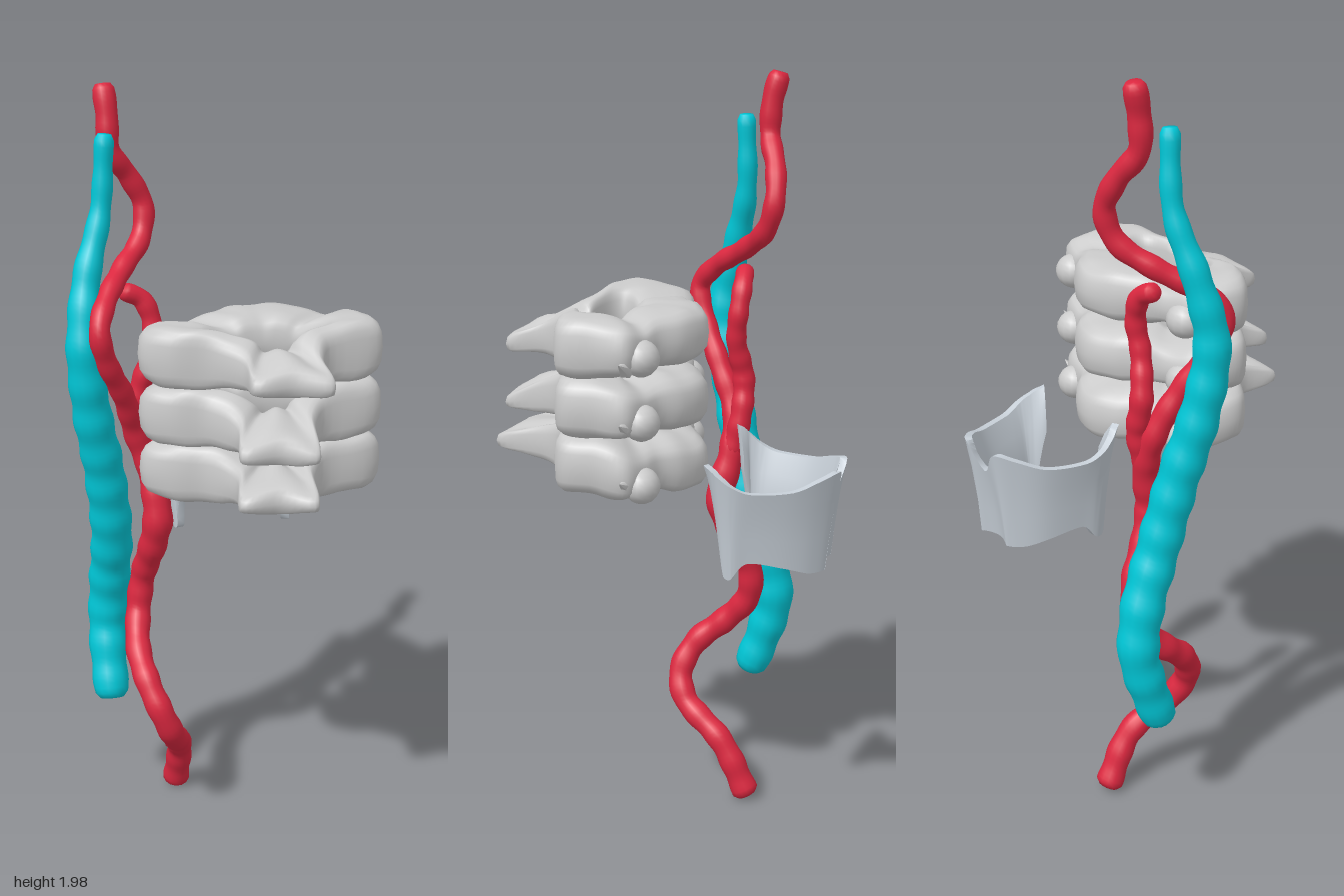
import * as THREE from 'three';
import { toCreasedNormals } from 'three/addons/utils/BufferGeometryUtils.js';

const material = (color) => new THREE.MeshStandardMaterial({ color, roughness: 0.7, side: THREE.DoubleSide });
const bone = material(0xcccccc);
const cartilage = material(0xc6ced6);
const arteryRed = material(0xdc2840);
const veinBlue = material(0x00c8d8);

// Skins a list of equal-length rings; each ring turns counter-clockwise about the sweep direction.
function loft(rings, closed) {
  const n = rings[0].length, m = rings.length;
  const points = rings.flat();
  const index = [];
  for (let i = 0; i < (closed ? m : m - 1); i++) {
    for (let j = 0; j < n; j++) {
      const a = i * n + j, b = i * n + (j + 1) % n;
      const c = ((i + 1) % m) * n + j, d = ((i + 1) % m) * n + (j + 1) % n;
      index.push(a, b, c, b, d, c);
    }
  }
  if (!closed) {
    for (const [i, flip] of [[0, true], [m - 1, false]]) {
      const center = new THREE.Vector3();
      rings[i].forEach((p) => center.addScaledVector(p, 1 / n));
      const k = points.push(center) - 1;
      for (let j = 0; j < n; j++) {
        const a = i * n + j, b = i * n + (j + 1) % n;
        index.push(k, flip ? b : a, flip ? a : b);
      }
    }
  }
  const geometry = new THREE.BufferGeometry().setFromPoints(points);
  geometry.setIndex(index);
  geometry.computeVertexNormals();
  return geometry;
}

function add(parent, name, geometry, mat) {
  const mesh = new THREE.Mesh(geometry, mat);
  mesh.name = name;
  parent.add(mesh);
  return mesh;
}

// Tube of varying radius through [x, y, z, radius] stations.
function vessel(stations, steps = 110, sides = 14) {
  const curve = new THREE.CatmullRomCurve3(stations.map(([x, y, z]) => new THREE.Vector3(x, y, z)));
  const frames = curve.computeFrenetFrames(steps);
  const rings = [];
  for (let i = 0; i <= steps; i++) {
    const u = i / steps, p = curve.getPointAt(u);
    const s = curve.getUtoTmapping(u) * (stations.length - 1);
    const k = Math.min(Math.floor(s), stations.length - 2);
    let r = THREE.MathUtils.lerp(stations[k][3], stations[k + 1][3], s - k);
    r *= 1 + 0.05 * Math.sin(i * 0.9);
    if (i === 0 || i === steps) r *= 0.75;
    const ring = [];
    for (let j = 0; j < sides; j++) {
      const a = (j / sides) * Math.PI * 2;
      ring.push(p.clone().addScaledVector(frames.normals[i], r * Math.cos(a))
        .addScaledVector(frames.binormals[i], r * Math.sin(a)));
    }
    rings.push(ring);
  }
  return loft(rings, false);
}

// Vertebra outline seen from above: [x, z, half height]
const outline = [
  [0.10, -0.105, 0.068], [0.02, -0.08, 0.07], [-0.045, -0.035, 0.065], [-0.12, -0.02, 0.05],
  [-0.195, 0.005, 0.06], [-0.225, 0.06, 0.07], [-0.235, 0.14, 0.074], [-0.18, 0.195, 0.074],
  [-0.085, 0.225, 0.068], [-0.02, 0.285, 0.05], [-0.012, 0.36, 0.028], [0.085, 0.36, 0.042],
  [0.175, 0.385, 0.028], [0.178, 0.295, 0.05], [0.21, 0.245, 0.066], [0.355, 0.205, 0.074],
  [0.365, 0.11, 0.074], [0.365, 0.03, 0.065], [0.30, 0, 0.05], [0.245, -0.02, 0.06], [0.19, -0.07, 0.07],
];

// Ring of bone around the spinal canal; the spine droops, lengthens and drifts with each level.
function vertebra({ y, bodyDrop, spineDrop, spineLength, spineShift }) {
  const curve = new THREE.CatmullRomCurve3(outline.map(([x, z, h]) => new THREE.Vector3(x, h, z)), true);
  const steps = 126, sides = 18, rings = [];
  const power = (v) => Math.sign(v) * Math.abs(v) ** 0.65;
  for (let i = 0; i < steps; i++) {
    const o = curve.getPoint(i / steps);
    const angle = Math.atan2((o.z - 0.15) / 0.065, (o.x - 0.08) / 0.14);
    const inX = 0.08 + 0.135 * Math.cos(angle), inZ = 0.155 + 0.057 * Math.sin(angle);
    const ring = [];
    for (let j = 0; j < sides; j++) {
      const a = (j / sides) * Math.PI * 2;
      const t = 0.5 + 0.5 * power(Math.cos(a));
      const x = THREE.MathUtils.lerp(inX, o.x, t), z = THREE.MathUtils.lerp(inZ, o.z, t);
      const spine = Math.max(0, z - 0.2) / 0.18;
      const body = THREE.MathUtils.clamp((0.12 - z) / 0.2, 0, 1);
      const bumps = 0.004 * Math.sin(x * 47 + y * 30) * Math.cos(z * 41);
      ring.push(new THREE.Vector3(
        x + spineShift * Math.min(spine, 1),
        y - power(Math.sin(a)) * (o.y + bumps) - body * bodyDrop - spine * spineDrop,
        z + spine * spineLength));
    }
    rings.push(ring);
  }
  return loft(rings, true);
}

// U-shaped shield open to the front: [x, z, top, bottom]
function shield() {
  const stations = [
    [-0.095, -0.14, 1.10, 0.99], [-0.11, -0.165, 1.08, 0.81], [-0.118, -0.20, 1.05, 0.80],
    [-0.115, -0.25, 1.03, 0.84], [-0.085, -0.35, 1.03, 0.82], [-0.04, -0.41, 1.05, 0.80],
    [0.01, -0.447, 1.06, 0.80], [0.075, -0.43, 0.99, 0.80], [0.125, -0.45, 1.06, 0.80],
    [0.185, -0.41, 1.05, 0.80], [0.23, -0.35, 1.03, 0.82], [0.27, -0.25, 1.03, 0.84],
    [0.28, -0.20, 1.05, 0.80], [0.27, -0.165, 1.07, 0.80], [0.25, -0.13, 1.09, 0.98],
  ];
  const outer = new THREE.CatmullRomCurve3(stations.map(([x, y, z]) => new THREE.Vector3(x, 0, y)));
  const heights = new THREE.CatmullRomCurve3(stations.map(([, , top, low], i) => new THREE.Vector3(i * 0.05, top, low)));
  const rings = [];
  for (let i = 0; i <= 70; i++) {
    const p = outer.getPoint(i / 70), h = heights.getPoint(i / 70), t = outer.getTangent(i / 70);
    const inward = new THREE.Vector3(-t.z, 0, t.x).normalize();
    const at = (depth, f) => {
      const q = p.clone().addScaledVector(inward, depth);
      q.y = THREE.MathUtils.lerp(h.z, h.y, f);
      return q;
    };
    rings.push([at(0.035, 0), at(0.026, 0.35), at(0.014, 0.7), at(0, 1),
      at(0.018, 1), at(0.04, 0.7), at(0.056, 0.35), at(0.058, 0)]);
  }
  return toCreasedNormals(loft(rings, false), 0.9);
}

export function createModel() {
  const model = new THREE.Group();
  model.name = 'neckAnatomy';

  // Stack of three neck vertebrae
  const spine = new THREE.Group();
  spine.name = 'vertebrae';
  model.add(spine);
  const levels = [
    { y: 1.382, bodyDrop: 0, spineDrop: 0.035, spineLength: 0.01, spineShift: 0 },
    { y: 1.235, bodyDrop: 0.02, spineDrop: 0.05, spineLength: 0.03, spineShift: -0.04 },
    { y: 1.092, bodyDrop: 0.045, spineDrop: 0.015, spineLength: 0.06, spineShift: -0.05 },
  ];
  levels.forEach((level, i) => {
    add(spine, `vertebra${i + 1}`, vertebra(level), bone);
    // Side processes and the small spurs at their tips
    for (const side of [-1, 1]) {
      const knob = add(spine, 'transverseProcess', new THREE.SphereGeometry(1, 14, 10), bone);
      knob.scale.set(0.05, 0.045, 0.045);
      knob.position.set(0.07 + side * 0.235, level.y - 0.02 - level.bodyDrop * 0.6, 0.01);
      const spur = add(spine, 'boneSpur', new THREE.ConeGeometry(0.022, 0.07, 6), bone);
      spur.position.set(0.07 + side * (side > 0 ? 0.295 : 0.25), level.y - 0.03, 0.04);
      spur.rotation.z = -side * 1.2;
    }
  });

  // Throat shield
  add(model, 'throatCartilage', shield(), cartilage);

  // Vein
  add(model, 'jugularVein', vessel([
    [-0.265, 1.88, -0.12, 0.023], [-0.28, 1.69, -0.12, 0.027], [-0.325, 1.53, -0.085, 0.036],
    [-0.342, 1.37, -0.05, 0.045], [-0.322, 1.18, -0.07, 0.05], [-0.29, 1.02, -0.105, 0.053],
    [-0.265, 0.82, -0.15, 0.055], [-0.265, 0.68, -0.195, 0.055], [-0.27, 0.55, -0.212, 0.053],
    [-0.275, 0.44, -0.185, 0.05], [-0.275, 0.33, -0.145, 0.046],
  ]), veinBlue);

  // Main artery continuing into its inner branch
  add(model, 'carotidArtery', vessel([
    [-0.09, 0.03, -0.18, 0.036], [-0.095, 0.18, -0.105, 0.034], [-0.14, 0.28, 0.01, 0.034],
    [-0.17, 0.35, 0.028, 0.034], [-0.2, 0.43, -0.01, 0.034], [-0.21, 0.5, -0.09, 0.034],
    [-0.195, 0.58, -0.155, 0.034], [-0.18, 0.68, -0.16, 0.034], [-0.16, 0.8, -0.105, 0.038],
    [-0.152, 0.88, -0.085, 0.04], [-0.165, 1.0, -0.11, 0.034], [-0.2, 1.1, -0.11, 0.032],
    [-0.24, 1.22, -0.06, 0.029], [-0.295, 1.34, -0.005, 0.027], [-0.312, 1.42, 0.01, 0.027],
    [-0.285, 1.48, -0.04, 0.027], [-0.225, 1.54, -0.13, 0.027], [-0.165, 1.6, -0.195, 0.027],
    [-0.15, 1.68, -0.22, 0.027], [-0.19, 1.76, -0.212, 0.027], [-0.24, 1.83, -0.188, 0.027],
    [-0.245, 1.92, -0.192, 0.029], [-0.25, 1.99, -0.21, 0.027],
  ], 200), arteryRed);

  // Outer branch
  add(model, 'outerBranchArtery', vessel([
    [-0.165, 1.0, -0.11, 0.03], [-0.165, 1.1, -0.135, 0.029], [-0.185, 1.2, -0.138, 0.029],
    [-0.16, 1.31, -0.122, 0.026], [-0.15, 1.39, -0.13, 0.026], [-0.175, 1.455, -0.135, 0.026],
    [-0.23, 1.485, -0.13, 0.022],
  ], 60), arteryRed);

  return model;
}
